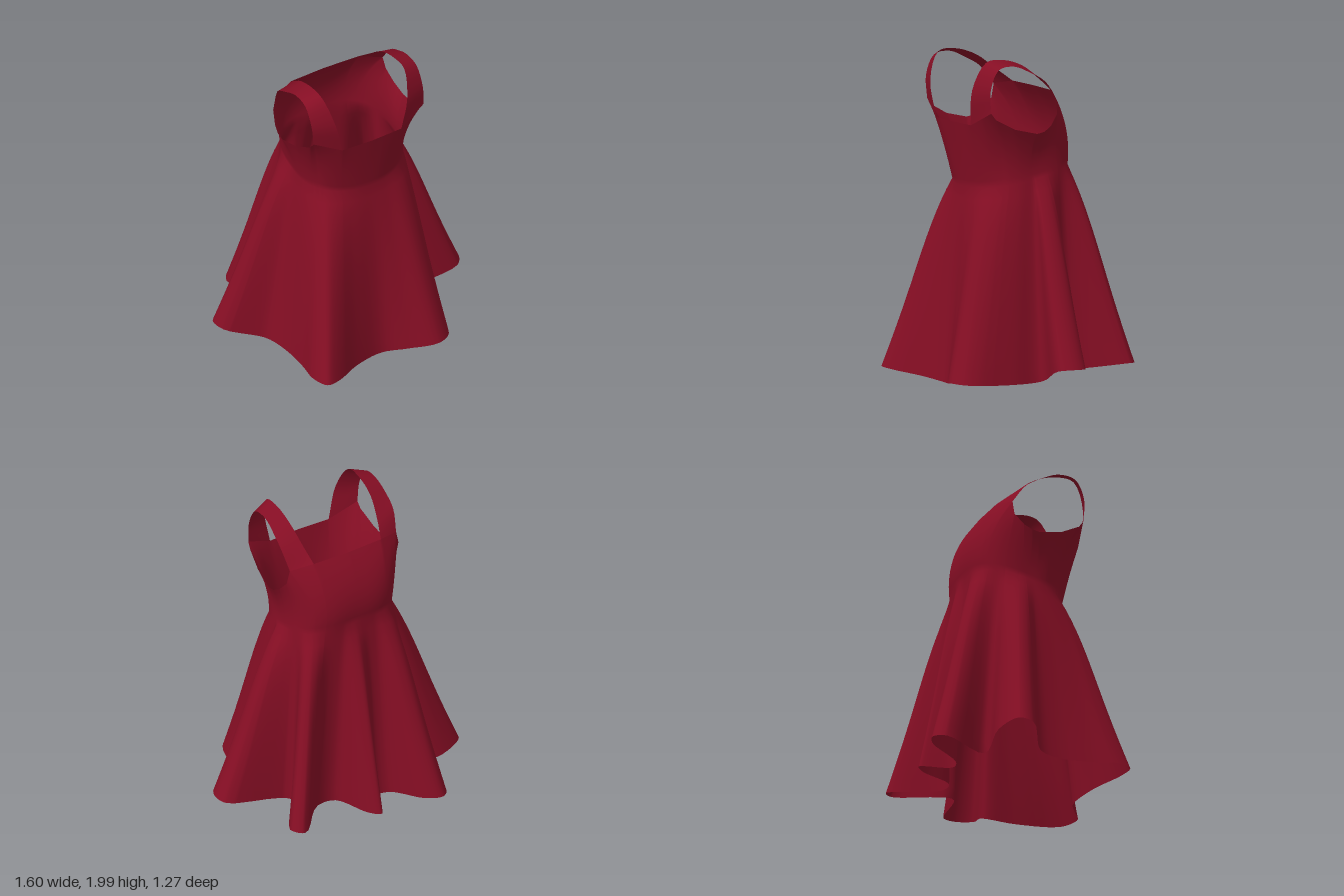
import * as THREE from 'three';

const TAU = Math.PI * 2;
const V = (x, y, z) => new THREE.Vector3(x, y, z);
const MID_X = -0.04; // the garment hangs slightly to its right

// hem of the skirt: waist angle, then x, y, z; angle runs from the front towards +x
const hem = [
  [0, -0.01, 0.005, 0.46], [0.3, 0.13, 0.02, 0.525], [0.55, 0.30, 0.05, 0.61],
  [0.75, 0.41, 0.045, 0.55], [1.2, 0.46, 0.035, 0.275], [1.45, 0.48, 0.045, 0.07],
  // left side fold
  [1.55, 0.74, 0.14, 0.105], [1.65, 0.795, 0.15, 0.02], [1.75, 0.77, 0.145, -0.07], [2.1, 0.375, 0.09, -0.18],
  // left back fold
  [2.33, 0.575, 0.13, -0.49], [2.42, 0.51, 0.12, -0.555], [2.7, 0.26, 0.07, -0.30], [2.9, 0.13, 0.06, -0.30],
  // centre back fold
  [3.03, 0.03, 0.06, -0.51], [3.12, -0.035, 0.06, -0.565], [3.35, -0.115, 0.05, -0.38],
  // right back fold
  [3.5, -0.20, 0.05, -0.39], [3.64, -0.33, 0.08, -0.595], [3.75, -0.43, 0.08, -0.635],
  [3.85, -0.49, 0.07, -0.565], [4.1, -0.36, 0.06, -0.27],
  // right side fold
  [4.3, -0.64, 0.10, -0.29], [4.48, -0.80, 0.12, -0.22], [4.6, -0.785, 0.11, -0.12],
  [4.8, -0.565, 0.045, 0.015], [4.95, -0.52, 0.035, 0.15],
  // right front
  [5.2, -0.52, 0.045, 0.36], [5.45, -0.54, 0.06, 0.535], [5.55, -0.50, 0.06, 0.63],
  [5.7, -0.41, 0.05, 0.615], [5.95, -0.21, 0.025, 0.51],
];

// half of the bodice's top edge: angle, x offset, y, z
const topHalf = [
  [0, 0, 1.60, 0.40], [0.5, 0.21, 1.60, 0.39], [0.9, 0.39, 1.69, 0.35], [1.0, 0.395, 1.65, 0.32],
  [1.25, 0.415, 1.585, 0.20], [1.5, 0.43, 1.55, 0.05], [1.65, 0.43, 1.56, 0],
  [1.8, 0.42, 1.59, -0.05], [2.05, 0.40, 1.66, -0.105], [2.35, 0.38, 1.75, -0.11],
  [2.6, 0.24, 1.78, -0.16], [Math.PI, 0, 1.78, -0.17],
];

// strap edges: x offset, y, z from front to back
const strapInner = [[0.21, 1.60, 0.39], [0.255, 1.82, 0.40], [0.29, 1.985, 0.32], [0.29, 1.995, 0.20],
  [0.285, 1.95, 0.06], [0.265, 1.86, -0.06], [0.24, 1.78, -0.16]];
const strapOuter = [[0.39, 1.69, 0.35], [0.395, 1.83, 0.35], [0.395, 1.95, 0.29], [0.395, 1.965, 0.18],
  [0.40, 1.92, 0.07], [0.40, 1.86, -0.03], [0.38, 1.75, -0.11]];

// superellipse point: n = 2 is round, higher is squarer
function ring(a, n, y, cx, cz, rx, rz) {
  const s = Math.sin(a), c = Math.cos(a);
  const r = (Math.abs(s) ** n + Math.abs(c) ** n) ** (-1 / n);
  return V(cx + rx * r * s, y, cz + rz * r * c);
}

// index for a grid of rows (r0..r1) with n points each
function gridIndex(r0, r1, n, closed) {
  const index = [];
  for (let j = r0; j < r1; j++) {
    for (let i = 0; i < (closed ? n : n - 1); i++) {
      const k = (i + 1) % n, a = j * n + i, b = j * n + k, c = a + n, d = b + n;
      index.push(a, b, c, b, d, c);
    }
  }
  return index;
}

function gridGeometry(rows, closed) {
  const g = new THREE.BufferGeometry().setFromPoints(rows.flat());
  g.setIndex(gridIndex(0, rows.length - 1, rows[0].length, closed));
  g.computeVertexNormals();
  return g;
}

export function createModel() {
  const group = new THREE.Group();
  group.name = 'dress';
  const red = new THREE.MeshStandardMaterial({ color: 0x860e24, side: THREE.DoubleSide });
  red.name = 'crimson cloth';
  const add = (name, geometry) => {
    const mesh = new THREE.Mesh(geometry, red);
    mesh.name = name;
    group.add(mesh);
  };

  const hemCurve = new THREE.CatmullRomCurve3(hem.map((h) => V(h[1], h[2], h[3])), true);
  const hemAngles = [...hem.map((h) => h[0]), TAU];
  const topEdge = [
    ...topHalf.map(([a, x, y, z]) => [a, V(MID_X + x, y, z)]),
    ...topHalf.slice(0, -1).reverse().map(([a, x, y, z]) => [TAU - a, V(MID_X - x, y, z)]),
  ];

  const hemAt = (a) => {
    let i = 0;
    while (i < hem.length - 1 && hemAngles[i + 1] <= a) i++;
    const u = (a - hemAngles[i]) / (hemAngles[i + 1] - hemAngles[i]);
    return hemCurve.getPoint((i + u) / hem.length);
  };
  const topAt = (a) => {
    let i = 0;
    while (i < topEdge.length - 2 && topEdge[i + 1][0] <= a) i++;
    const [a0, p0] = topEdge[i], [a1, p1] = topEdge[i + 1];
    return p0.clone().lerp(p1, (a - a0) / (a1 - a0));
  };

  // columns: subdivided hem angles plus the corners of the top edge
  let angles = topEdge.slice(0, -1).map((t) => t[0]);
  for (let i = 0; i < hem.length; i++) {
    for (let s = 0; s < 5; s++) angles.push(THREE.MathUtils.lerp(hemAngles[i], hemAngles[i + 1], s / 5));
  }
  angles = angles.sort((a, b) => a - b).filter((a, i, all) => i === 0 || a - all[i - 1] > 0.003);

  const SKIRT = 16, BODICE = 10;
  const rows = Array.from({ length: SKIRT + BODICE + 1 }, () => []);
  for (const a of angles) {
    const c = Math.cos(a);
    const waist = ring(a, 2.7 - 0.5 * c, 1.2 + 0.07 * (1 - c), -0.02, 0.02, 0.36, 0.31);
    const low = hemAt(a), top = topAt(a);
    const chest = ring(a, 2.9 - 0.3 * c, (waist.y + top.y) / 2, -0.035, 0.04, 0.375, 0.322);
    for (let j = 0; j <= SKIRT; j++) {
      // the cloth flares quickly just under the waist, then hangs straight
      const t = 1 - j / SKIRT, flare = t + 0.5 * t * (1 - t) ** 3;
      const p = waist.clone().lerp(low, flare);
      p.y = THREE.MathUtils.lerp(waist.y, low.y, t);
      rows[j].push(p);
    }
    for (let j = 1; j <= BODICE; j++) {
      const t = j / BODICE;
      rows[SKIRT + j].push(V(0, 0, 0)
        .addScaledVector(waist, (1 - t) * (1 - 2 * t))
        .addScaledVector(chest, 4 * t * (1 - t))
        .addScaledVector(top, t * (2 * t - 1)));
    }
  }

  // skirt and bodice share vertices so the waist shades smoothly
  const body = gridGeometry(rows, true);
  const n = angles.length;
  const skirt = body.clone();
  skirt.setIndex(gridIndex(0, SKIRT, n, true));
  add('skirt', skirt);
  const bodice = body.clone();
  bodice.setIndex(gridIndex(SKIRT, SKIRT + BODICE, n, true));
  add('bodice', bodice);

  // shoulder straps
  for (const side of [1, -1]) {
    const edge = (pts) => new THREE.CatmullRomCurve3(pts.map(([x, y, z], i) =>
      V(MID_X + side * x - 0.02 * Math.sin(Math.PI * i / 6), y, z))).getPoints(24);
    const inner = edge(strapInner), outer = edge(strapOuter);
    const strapRows = [0, 0.5, 1].map((t) => inner.map((p, i) => p.clone().lerp(outer[i], t)));
    if (side > 0) strapRows.reverse();
    add(side > 0 ? 'leftStrap' : 'rightStrap', gridGeometry(strapRows, false));
  }
  return group;
}
